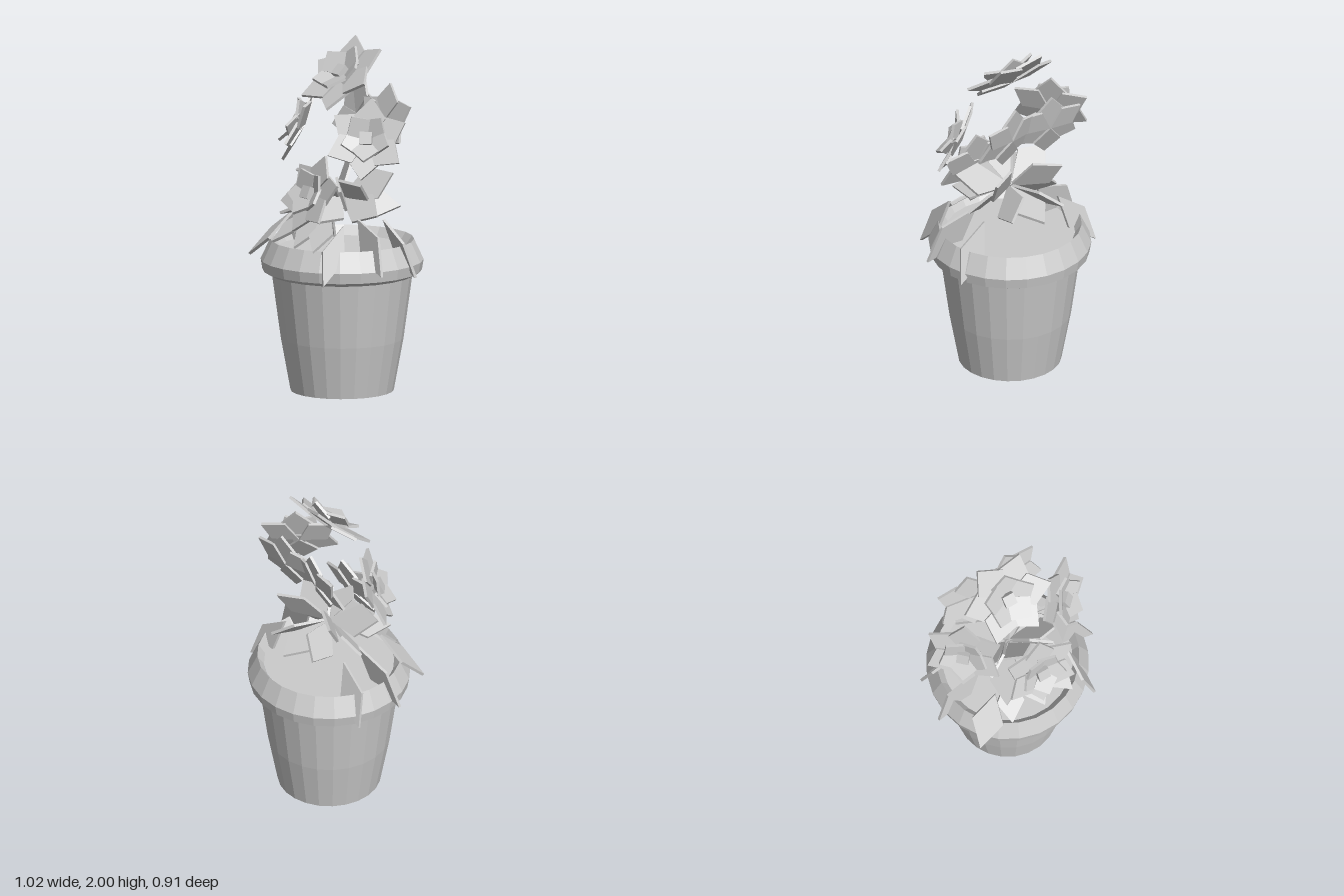
import * as THREE from 'three';

const V = (a) => new THREE.Vector3(...a);

export function createModel() {
  const model = new THREE.Group();
  const clay = new THREE.MeshStandardMaterial({ color: 0xcccccc, flatShading: true });
  clay.name = 'pale grey';

  const add = (parent, name, geometry) => {
    const mesh = new THREE.Mesh(geometry, clay);
    mesh.name = name;
    parent.add(mesh);
    return mesh;
  };

  // Thin kite plate growing along +y
  const kite = (length, half, widest = 0.55) => {
    const shape = new THREE.Shape([
      new THREE.Vector2(0, 0), new THREE.Vector2(half, length * widest),
      new THREE.Vector2(0, length), new THREE.Vector2(-half, length * widest),
    ]);
    return new THREE.ExtrudeGeometry(shape, { depth: 0.016, bevelEnabled: false });
  };

  // Pot with a sharp sloping rim and flat soil inside
  const profile = [
    [0, 0], [0.291, 0], [0.346, 0.3], [0.396, 0.665], [0.414, 0.67], [0.449, 0.69],
    [0.459, 0.75], [0.405, 0.865], [0.367, 0.81],
  ].map((p) => new THREE.Vector2(...p));
  add(model, 'pot', new THREE.LatheGeometry(profile, 24, Math.PI / 24));
  const soil = add(model, 'soil', new THREE.CircleGeometry(0.367, 24, Math.PI / 24));
  soil.rotation.x = -Math.PI / 2;
  soil.position.y = 0.812;

  // Ring of petals in the local xy plane, cupped toward +z
  const ring = (parent, count, length, half, start, cup, lift) => {
    for (let i = 0; i < count; i++) {
      const spoke = new THREE.Group();
      spoke.rotation.z = start + (i * Math.PI * 2) / count - Math.PI / 2;
      const petal = add(spoke, 'petal', kite(length, half));
      petal.rotation.x = cup;
      petal.position.z = lift + (i % 2) * 0.012;
      parent.add(spoke);
    }
  };

  const flower = (name, position, normal, radius, start, heart = true) => {
    const group = new THREE.Group();
    group.name = name;
    group.position.copy(V(position));
    group.lookAt(V(position).add(V(normal)));
    ring(group, 6, radius, radius * 0.38, start, 0.12, -0.01);
    if (heart) {
      ring(group, 5, radius * 0.68, radius * 0.32, start + 0.5, 0.45, 0);
      add(group, 'flowerHeart', new THREE.BoxGeometry(0.07, 0.07, 0.07)).position.z = 0.035;
    }
    model.add(group);
  };

  flower('topFlower', [0, 1.79, -0.02], [0, 0.72, 0.7], 0.27, 0.9);
  flower('frontFlower', [0.06, 1.15, 0.24], [0, 0.4, 0.92], 0.235, 0.35);
  for (const s of [-1, 1]) {
    flower('sideFlower', [s * 0.305, 1.48, 0.045], [s * 0.64, 0.4, 0.66], 0.24, s > 0 ? 0.45 : 0.6);
    flower('backBloom', [s * 0.13, 1.535, -0.208], [s * 0.15, 0.33, 0.94], 0.215, 0.5, false);
  }

  // Leaf plate from base to tip, facing roughly along the hint
  const leaf = (name, base, tip, half, hint, widest) => {
    const along = V(tip).sub(V(base));
    const length = along.length();
    along.normalize();
    const across = along.clone().cross(V(hint)).normalize();
    const facing = across.clone().cross(along);
    const mesh = add(model, name, kite(length, half, widest));
    mesh.quaternion.setFromRotationMatrix(new THREE.Matrix4().makeBasis(across, along, facing));
    mesh.position.copy(V(base));
  };

  // Leaf rosette around the middle of the plant: tip, then facing
  leaf('rosetteLeaf', [0, 1.09, 0], [0, 1.01, -0.34], 0.1, [0, 1, 0], 0.6);
  leaf('rosetteLeaf', [0, 1.09, 0.02], [0, 1.25, 0.18], 0.09, [0, 1, 0], 0.6);
  const sideLeaves = [
    [[0.22, 1.25, -0.2], [0.8, 0.6, 0]],
    [[0.17, 1.04, -0.28], [0.9, 0.7, 0]],
    [[0.3, 1.03, -0.03], [0.2, 0.6, 0.7]],
    [[0.31, 1.22, 0.1], [0.1, 0.7, -0.5]],
    [[0.18, 1.01, 0.3], [0.5, 1, 0.1]],
    [[0.2, 1.18, 0.17], [0.9, 0.4, 0]],
  ];
  for (const s of [-1, 1]) {
    for (const [[x, y, z], [hx, hy, hz]] of sideLeaves) {
      leaf('rosetteLeaf', [0, 1.1, 0], [s * x, y, z], 0.1, [s * hx, hy, hz], 0.6);
    }
  }

  // Leaves drooping over the rim
  for (const s of [-1, 1]) {
    leaf('sideLeaf', [s * 0.21, 1.01, 0.03], [s * 0.505, 0.73, 0.08], 0.1, [0, 0.1, 1], 0.5);
    leaf('backLeaf', [s * 0.25, 1.0, -0.1], [s * 0.46, 0.69, -0.17], 0.08, [0.2 * s, 0.2, -1], 0.5);
  }
  leaf('frontLeaf', [-0.2, 1.0, 0.2], [-0.39, 0.75, 0.355], 0.09, [-0.4, 0.6, 0.6], 0.5);
  leaf('frontLeaf', [0.27, 1.0, 0.19], [0.335, 0.68, 0.38], 0.07, [1, 0.2, 0.3], 0.5);

  // Low leaves hanging beneath the front flower
  for (const x of [-0.18, 0.03, 0.21]) {
    leaf('lowLeaf', [x * 0.5, 1.03, 0.15], [x, 0.85, 0.35], 0.08, [x, 0.6, 0.8], 0.55);
  }
  return model;
}
